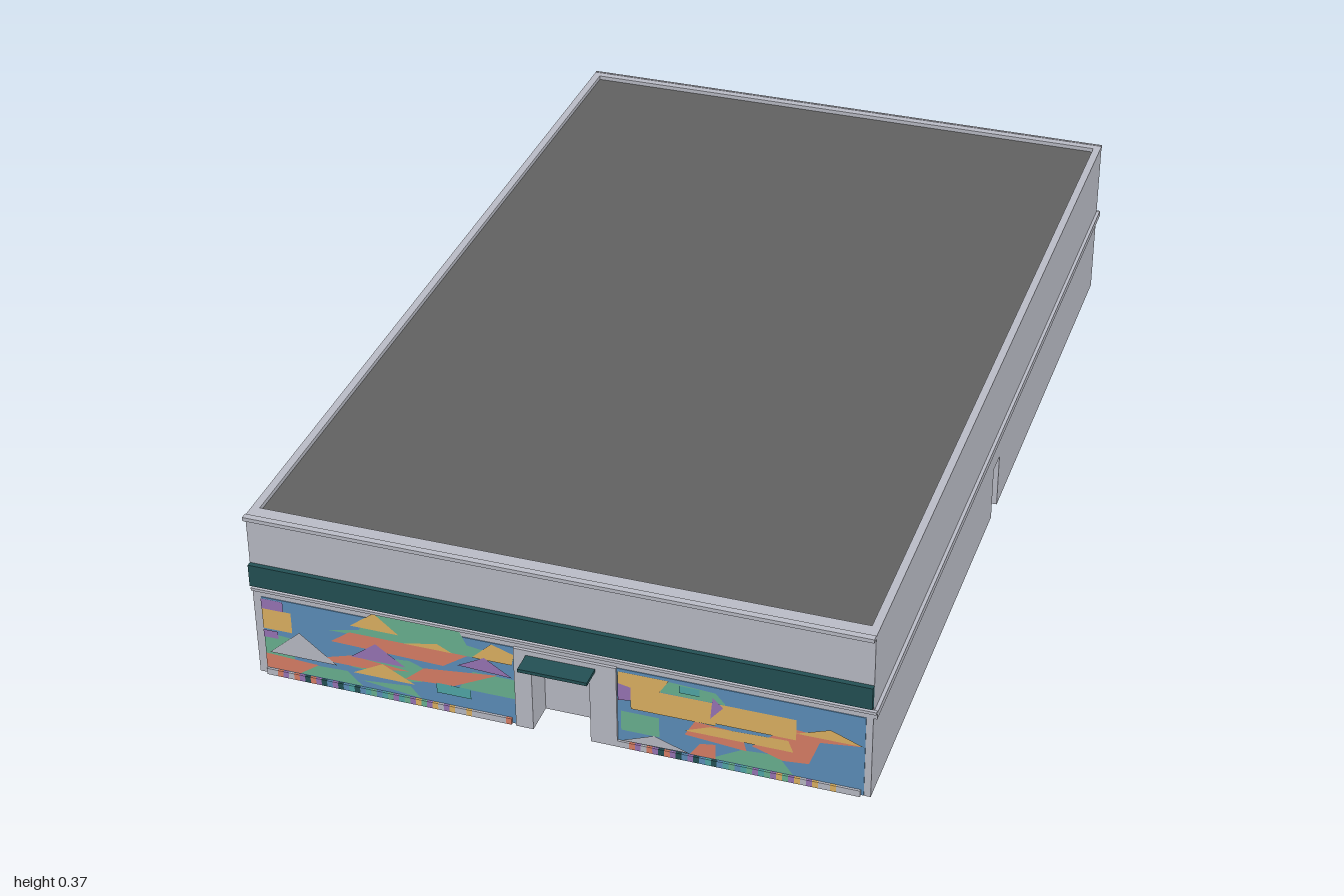
import * as THREE from 'three';

const material = (name, color) => {
  const m = new THREE.MeshStandardMaterial({ color });
  m.name = name;
  return m;
};

export function createModel() {
  const model = new THREE.Group();
  model.name = 'shopBuilding';
  const grey = material('wall grey', 0xbcbec8);
  const darkTeal = material('dark teal', 0x235155);
  const roofGrey = material('roof grey', 0x626262);
  const blue = material('mural blue', 0x5e91bd);
  const green = material('mural green', 0x6bb593);
  const orange = material('mural orange', 0xe1b564);
  const coral = material('mural coral', 0xdc8168);
  const purple = material('mural purple', 0x9b76b8);
  const teal = material('mural teal', 0x53abab);

  const L = -0.617, R = 0.608, F = 0.95, B = -0.988, H = 0.367, T = 0.016;

  const add = (name, geometry, mat, parent = model) => {
    const mesh = new THREE.Mesh(geometry, mat);
    mesh.name = name;
    parent.add(mesh);
    return mesh;
  };
  // Box given by its lower and upper limits
  const box = (name, mat, x0, x1, y0, y1, z0, z1, parent) => {
    const g = new THREE.BoxGeometry(x1 - x0, y1 - y0, z1 - z0);
    g.translate((x0 + x1) / 2, (y0 + y1) / 2, (z0 + z1) / 2);
    return add(name, g, mat, parent);
  };
  const polygon = (pts) => new THREE.Shape(pts.map(([x, y]) => new THREE.Vector2(x, y)));

  // Wall facing local +z with a doorway: cut-out, jambs, head and recessed door leaf
  const wall = (name, a, b, d0, d1, dh, recess) => {
    const group = new THREE.Group();
    group.name = name;
    model.add(group);
    const shape = polygon([[a, 0], [d0, 0], [d0, dh], [d1, dh], [d1, 0], [b, 0], [b, H], [a, H]]);
    add('wallPanel', new THREE.ExtrudeGeometry(shape, { depth: T, bevelEnabled: false }).translate(0, 0, -T), grey, group);
    box('doorJamb', grey, d0 - 0.004, d0, 0, dh, -recess, -T, group);
    box('doorJamb', grey, d1, d1 + 0.004, 0, dh, -recess, -T, group);
    box('doorHead', grey, d0, d1, dh, dh + 0.004, -recess, -T, group);
    const leaf = new THREE.PlaneGeometry(d1 - d0, dh);
    leaf.translate((d0 + d1) / 2, dh / 2, -recess);
    add('doorLeaf', leaf, grey, group);
    return group;
  };

  // Shell, open underneath
  wall('frontWall', L, R, -0.05, 0.065, 0.152, 0.06).position.z = F;
  const back = wall('backWall', -R, -L, -0.02, 0.03, 0.12, 0.03);
  back.rotation.y = Math.PI;
  back.position.z = B;
  const side = wall('leftSideWall', -F + T, -B - T, -0.01, 0.04, 0.12, 0.03);
  side.rotation.y = Math.PI / 2;
  side.position.x = R;
  box('rightSideWall', grey, L, L + T, 0, H, B + T, F - T);
  box('roof', roofGrey, L + T, R - T, 0.353, 0.358, B + T, F - T);
  box('ceiling', grey, L + T, R - T, 0.349, 0.353, B + T, F - T);
  box('frontParapet', grey, L + T, R - T, 0.353, H, 0.92, F - T);

  // Ledges and cornices
  box('frontCornice', grey, L, R, 0.362, 0.37, F, 0.963);
  box('backCornice', grey, L, R, 0.362, 0.368, B - 0.005, B);
  box('frontLedge', grey, L, R + 0.007, 0.197, 0.203, F, 0.957);
  box('sideLedge', grey, R, R + 0.007, 0.183, 0.198, B, F);
  box('backLedge', grey, L, R + 0.007, 0.183, 0.196, B - 0.008, B);
  box('signBand', darkTeal, L, R, 0.21, 0.258, F, 0.96);

  // Entrance
  const entrance = new THREE.Group();
  entrance.name = 'entrance';
  model.add(entrance);
  box('portalLeft', grey, 0.065, 0.118, 0, 0.184, F, 0.956, entrance);
  box('portalRight', grey, -0.085, -0.05, 0, 0.184, F, 0.956, entrance);
  box('portalHead', grey, -0.05, 0.065, 0.152, 0.184, F, 0.956, entrance);
  box('transom', roofGrey, -0.05, 0.065, 0.134, 0.152, F - T, F - 0.004, entrance);
  box('canopy', darkTeal, -0.06, 0.077, 0.166, 0.173, 0.956, 1, entrance);

  // Mural: blue fields with flat coloured shapes layered on top
  const mural = new THREE.Group();
  mural.name = 'mural';
  model.add(mural);
  box('muralField', blue, -0.6, -0.085, 0.002, 0.182, F, F + 0.0015, mural);
  box('muralField', blue, 0.118, 0.595, 0.002, 0.182, F, F + 0.0015, mural);
  const rect = (x0, x1, y0, y1) => [[x0, y0], [x1, y0], [x1, y1], [x0, y1]];
  let layer = 0;
  const paint = (name, mat, ...shapes) => {
    for (const pts of shapes) {
      const g = new THREE.ShapeGeometry(polygon(pts));
      add(name, g, mat, mural).position.z = F + 0.002 + 0.00007 * layer++;
    }
  };
  paint('greenShape', green,
    [[-0.465, 0.135], [-0.13, 0.14], [-0.085, 0.152], [-0.18, 0.165], [-0.195, 0.197], [-0.37, 0.197], [-0.4, 0.15]],
    [[-0.6, 0.04], [-0.54, 0.04], [-0.54, 0.095], [-0.6, 0.1]],
    [[-0.54, 0.016], [-0.4, 0.016], [-0.43, 0.045], [-0.56, 0.04]],
    [[-0.42, 0.058], [-0.3, 0.05], [-0.22, 0.07], [-0.3, 0.1], [-0.4, 0.09]],
    [[-0.2, 0.06], [-0.085, 0.06], [-0.085, 0.105], [-0.17, 0.105]],
    [[-0.4, 0.03], [-0.28, 0.016], [-0.3, 0.04]],
    rect(0.125, 0.2, 0.04, 0.085),
    [[0.3, 0.016], [0.46, 0.016], [0.43, 0.055], [0.36, 0.05]],
    [[0.2, 0.147], [0.33, 0.147], [0.31, 0.17], [0.22, 0.175]]);
  paint('coralShape', coral,
    [[-0.46, 0.11], [-0.23, 0.105], [-0.18, 0.14], [-0.42, 0.14]],
    [[-0.5, 0.06], [-0.4, 0.06], [-0.3, 0.075], [-0.42, 0.085]],
    [[-0.31, 0.055], [-0.21, 0.062], [-0.12, 0.108], [-0.27, 0.09]],
    [[-0.6, 0.016], [-0.53, 0.016], [-0.49, 0.045], [-0.6, 0.05]],
    [[0.26, 0.016], [0.31, 0.016], [0.31, 0.05], [0.28, 0.045]],
    [[0.38, 0.065], [0.44, 0.045], [0.49, 0.05], [0.51, 0.105], [0.59, 0.115], [0.45, 0.125]],
    [[0.25, 0.06], [0.37, 0.05], [0.36, 0.09], [0.27, 0.095]]);
  paint('orangeShape', orange,
    rect(-0.6, -0.54, 0.11, 0.157),
    [[-0.417, 0.157], [-0.318, 0.157], [-0.367, 0.197]],
    [[-0.417, 0.046], [-0.29, 0.046], [-0.355, 0.08]],
    [[-0.31, 0.14], [-0.21, 0.14], [-0.24, 0.155]],
    [[-0.17, 0.14], [-0.09, 0.14], [-0.085, 0.165], [-0.13, 0.18]],
    rect(0.145, 0.31, 0.095, 0.147), rect(0.31, 0.465, 0.1, 0.147),
    [[0.12, 0.145], [0.2, 0.145], [0.22, 0.177], [0.12, 0.177]],
    [[0.25, 0.07], [0.46, 0.07], [0.45, 0.095], [0.3, 0.09]],
    [[0.465, 0.116], [0.592, 0.116], [0.53, 0.14]]);
  paint('purpleShape', purple,
    rect(-0.6, -0.555, 0.157, 0.18), rect(-0.6, -0.57, 0.09, 0.107),
    [[-0.42, 0.084], [-0.308, 0.084], [-0.367, 0.125]],
    [[-0.2, 0.115], [-0.09, 0.11], [-0.145, 0.145]],
    [[0.12, 0.11], [0.145, 0.115], [0.145, 0.145], [0.12, 0.15]],
    [[0.3, 0.11], [0.325, 0.14], [0.305, 0.16]]);
  paint('greyShape', grey,
    [[-0.59, 0.055], [-0.45, 0.055], [-0.525, 0.115]],
    [[0.125, 0.016], [0.26, 0.018], [0.19, 0.042]]);
  paint('tealShape', teal, rect(-0.245, -0.175, 0.04, 0.063), rect(0.24, 0.28, 0.156, 0.172));

  // Row of narrow coloured tiles along the foot of the mural
  const tileColours = [grey, purple, blue, coral, grey, green, darkTeal, grey, orange, teal, purple];
  for (const [start, end] of [[-0.6, -0.088], [0.118, 0.59]]) {
    const count = Math.floor((end - start) / 0.0115);
    for (let i = 0; i < count; i++) {
      const x = start + i * 0.0115;
      box('footTile', tileColours[(i * 7 + (i >> 2)) % 11], x, x + 0.0115, 0, 0.014, F + 0.0015, F + 0.0062, mural);
    }
  }
  return model;
}
